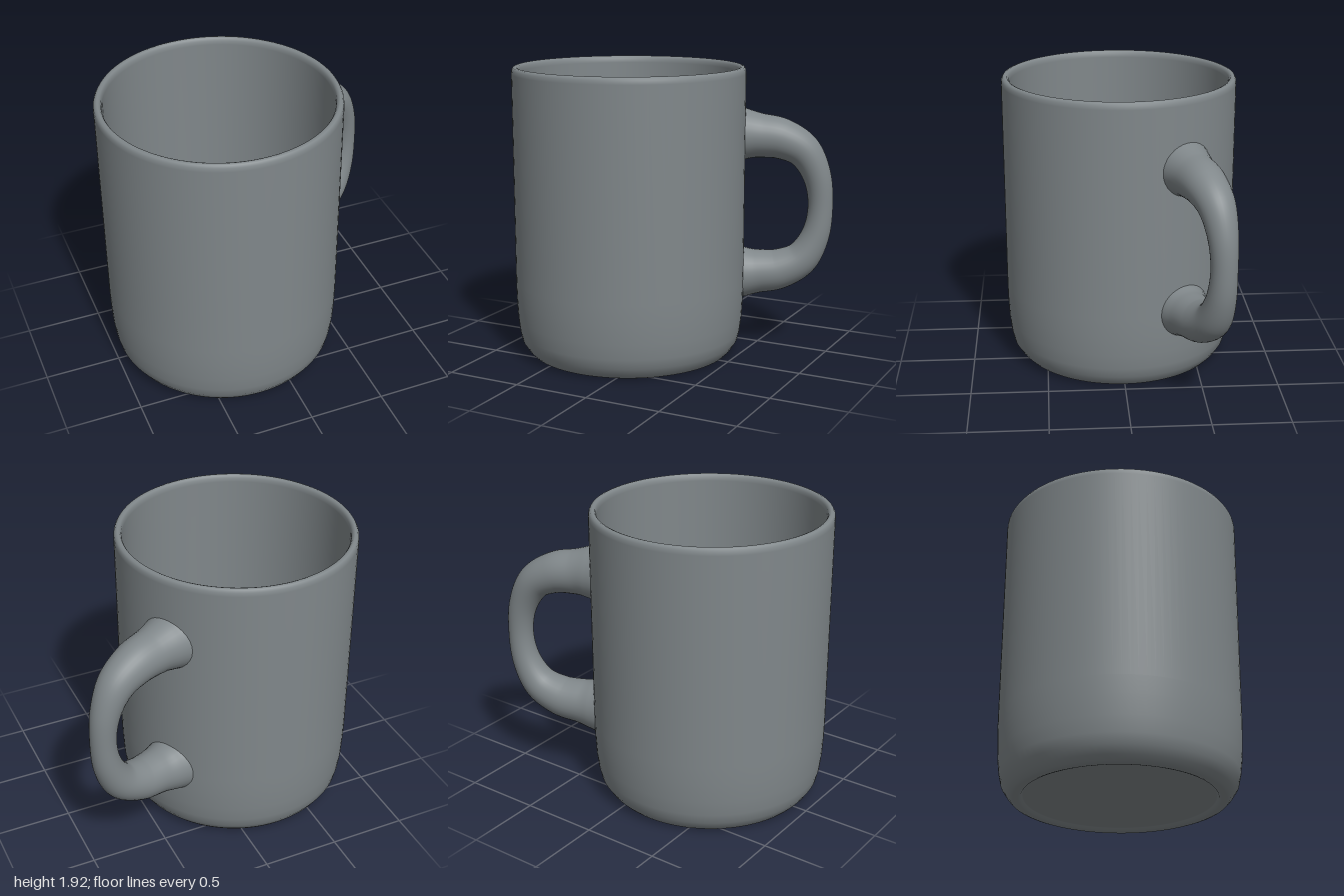
import * as THREE from 'three';

const CX = -0.233; // mug axis
const WALL = 0.755; // radius where the handle is sunk into the wall

const V2 = (x, y) => new THREE.Vector2(x, y);

// Closed profile: underside, outer wall, rounded rim, inner wall, floor
function bodyGeometry() {
  const profile = [
    [0, 0.02], [0.592, 0.02], [0.6, 0.018], [0.608, 0.006], [0.625, 0], [0.655, 0],
    [0.675, 0.008], [0.7, 0.035], [0.732, 0.085], [0.747, 0.15], [0.759, 0.25], [0.765, 0.38],
    [0.767, 0.5], [0.767, 1.875], [0.764, 1.9], [0.755, 1.915], [0.74, 1.92],
    [0.727, 1.915], [0.718, 1.9], [0.715, 1.875], [0.715, 0.4], [0.708, 0.25],
    [0.693, 0.16], [0.665, 0.105], [0.63, 0.085], [0.58, 0.08], [0, 0.08],
  ];
  return new THREE.LatheGeometry(profile.map(([x, y]) => V2(x, y)), 96);
}

// Tapered tube swept along a D-shaped path, flared where it meets the wall
function handleGeometry() {
  const half = [ // x, y above middle, radius
    [0.34, 0.475, 0.195], [0.43, 0.472, 0.172], [0.52, 0.465, 0.149], [0.66, 0.445, 0.136],
    [0.8, 0.365, 0.116], [0.886, 0.2, 0.094],
  ];
  const lower = half.map(([x, y, r]) => [x, -y, r]).reverse();
  const stations = [...half, [0.912, 0, 0.083], ...lower];
  const path = new THREE.CatmullRomCurve3(
    stations.map(([x, y]) => new THREE.Vector3(x, 0.99 + y, -0.38 - 0.365 * (x - 0.42))),
    false, 'catmullrom', 0.5);
  const radii = new THREE.SplineCurve(stations.map(s => V2(s[2], 0)));
  const side = new THREE.Vector3(0.365, 0, 1).normalize();
  const rings = 96, sides = 32, pos = [], index = [];

  for (let i = 0; i <= rings; i++) {
    const t = i / rings, p = path.getPoint(t), r = radii.getPoint(t).x;
    const out = new THREE.Vector3().crossVectors(side, path.getTangent(t)).normalize();
    for (let j = 0; j < sides; j++) {
      const a = (j / sides) * Math.PI * 2;
      const v = p.clone().addScaledVector(out, r * Math.cos(a)).addScaledVector(side, r * Math.sin(a));
      // Keep the root inside the thickness of the wall
      const d = Math.hypot(v.x - CX, v.z);
      if (d < WALL) {
        v.x = CX + (v.x - CX) * WALL / d;
        v.z *= WALL / d;
      }
      pos.push(v.x, v.y, v.z);
      if (i < rings) {
        const k = (j + 1) % sides, a0 = i * sides + j, b0 = i * sides + k;
        index.push(a0, b0, a0 + sides, b0, b0 + sides, a0 + sides);
      }
    }
  }
  const g = new THREE.BufferGeometry();
  g.setAttribute('position', new THREE.Float32BufferAttribute(pos, 3));
  g.setIndex(index);
  g.computeVertexNormals();
  return g;
}

export function createModel() {
  const glaze = new THREE.MeshStandardMaterial({ color: 0x80878a });
  glaze.name = 'grey glaze';
  const model = new THREE.Group();
  model.name = 'mug';

  const body = new THREE.Mesh(bodyGeometry(), glaze);
  body.name = 'body';
  body.position.x = CX;

  const handle = new THREE.Mesh(handleGeometry(), glaze);
  handle.name = 'handle';

  model.add(body, handle);
  return model;
}
